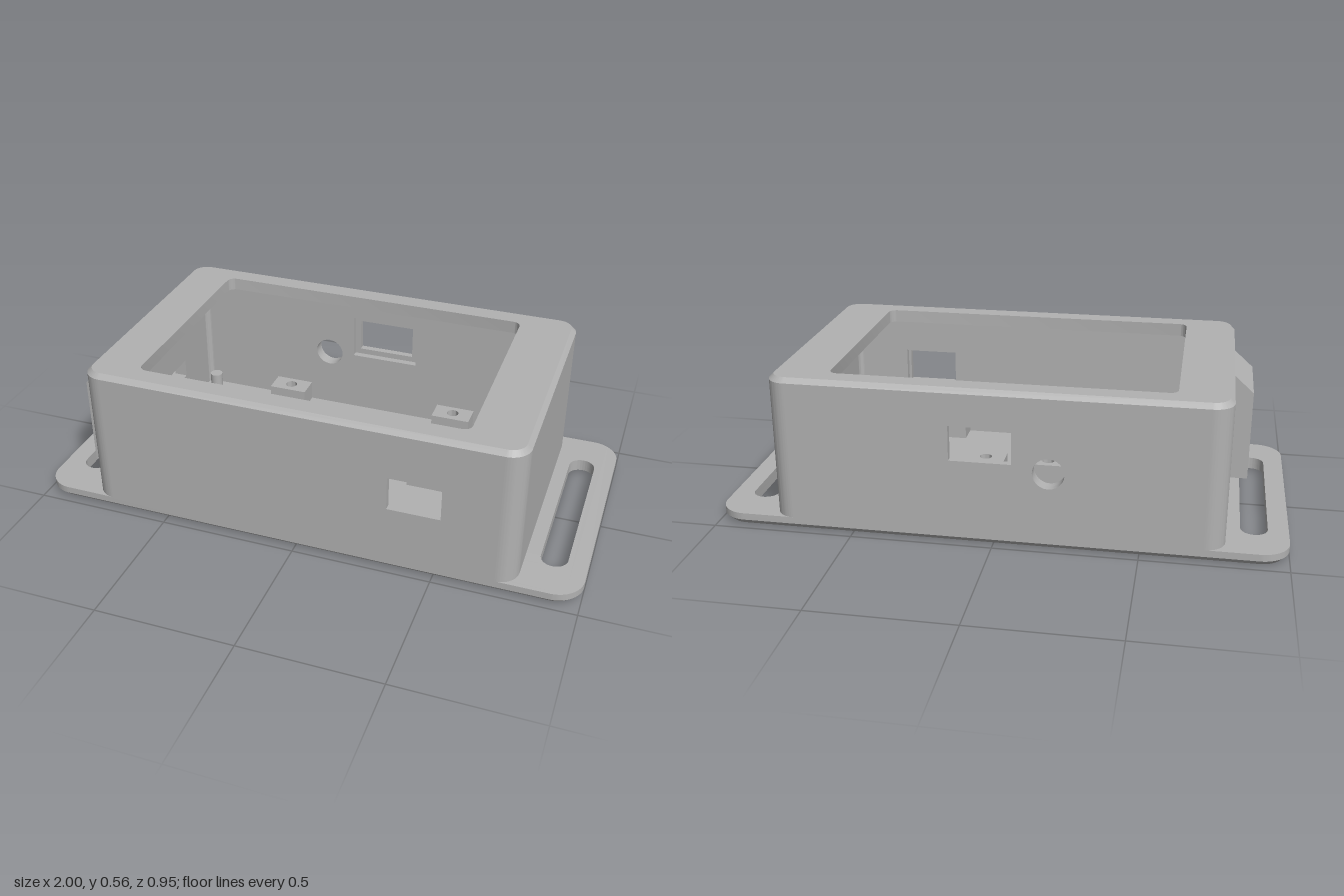
import * as THREE from 'three';
import { toCreasedNormals } from 'three/addons/utils/BufferGeometryUtils.js';

const grey = new THREE.MeshStandardMaterial({ color: 0xb2b2b2, side: THREE.DoubleSide });
grey.name = 'grey plastic';

const HX = 0.785, HZ = 0.477;        // half size of the box body
const FLOOR = 0.045, SHOULDER = 0.545, TOP = 0.562;
const WALL = 0.05, R = 0.07;         // wall thickness, corner radius

// Rounded rectangle outline centred on (cx, cy)
function roundRect(hw, hh, r, cx = 0, cy = 0, Type = THREE.Shape) {
  const s = new Type();
  const corners = [[1, 1], [-1, 1], [-1, -1], [1, -1]];
  corners.forEach(([sx, sy], i) =>
    s.absarc(cx + sx * (hw - r), cy + sy * (hh - r), r, i * Math.PI / 2, (i + 1) * Math.PI / 2, false));
  s.closePath();
  return s;
}

function rect(x0, x1, y0, y1, Type = THREE.Path) {
  return new Type([[x0, y0], [x1, y0], [x1, y1], [x0, y1]].map(p => new THREE.Vector2(...p)));
}

function circle(x, y, r) {
  return new THREE.Path().absarc(x, y, r, 0, Math.PI * 2, false);
}

function extrude(shape, depth) {
  const g = new THREE.ExtrudeGeometry(shape, { depth, bevelEnabled: false, curveSegments: 12 });
  return toCreasedNormals(g, 0.6);
}

// Flat slab: outline in plan, extruded upward from y0 to y1
function slab(shape, y0, y1) {
  return extrude(shape, y1 - y0).rotateX(-Math.PI / 2).translate(0, y0, 0);
}

// Sloping strip joining two plan outlines at different heights
function band(lower, y0, upper, y1) {
  const a = lower.getPoints(12), b = upper.getPoints(12), pos = [];
  const put = (p, y) => pos.push(p.x, y, -p.y);
  for (let i = 0; i < a.length; i++) {
    const j = (i + 1) % a.length;
    put(a[i], y0); put(a[j], y0); put(b[j], y1);
    put(a[i], y0); put(b[j], y1); put(b[i], y1);
  }
  const g = new THREE.BufferGeometry();
  g.setAttribute('position', new THREE.Float32BufferAttribute(pos, 3));
  g.computeVertexNormals();
  return toCreasedNormals(g, 0.6);
}

export function createModel() {
  const model = new THREE.Group();
  model.name = 'enclosure';
  const add = (name, geometry, parent = model) => {
    const m = new THREE.Mesh(geometry, grey);
    m.name = name;
    parent.add(m);
    return m;
  };

  // Base flange with strap slots and countersunk screw holes
  const screws = [];
  for (const x of [-0.345, 0.345]) for (const z of [-0.385, 0.385]) screws.push([x, z]);
  const baseOutline = (inset, screwRadius) => {
    const s = roundRect(1 - inset, HZ - inset, 0.1 - inset);
    for (const x of [-0.882, 0.882]) s.holes.push(roundRect(0.047, 0.335, 0.0465, x, 0, THREE.Path));
    for (const [x, z] of screws) s.holes.push(circle(x, z, screwRadius));
    return s;
  };
  add('baseFlange', slab(baseOutline(0, 0.024), 0.02, FLOOR));
  add('baseUnderside', slab(baseOutline(0.02, 0.055), 0, 0.02));
  add('baseChamfer', band(baseOutline(0.02, 0.055), 0, baseOutline(0, 0.024), 0.02));
  for (const [x, z] of screws) {
    add('screwCountersink', new THREE.CylinderGeometry(0.024, 0.055, 0.02, 24, 1, true)).position.set(x, 0.01, z);
  }

  // Walls: two layers, the inner one with wider openings where there is a recess
  function wall(name, angle, half, distance, openings) {
    const g = new THREE.Group();
    g.name = name;
    g.rotation.y = angle;
    model.add(g);
    [0, 1].forEach(inner => {
      const s = rect(-half + R, half - R, FLOOR, SHOULDER, THREE.Shape);
      for (const o of openings) s.holes.push(o(inner));
      add(inner ? 'innerSkin' : 'outerSkin', extrude(s, WALL / 2), g).position.z = distance - WALL / 2 * (1 + inner);
    });
  }
  const windowHole = (x0, x1, y0, y1, pad) => inner => {
    const p = inner * pad;
    return rect(x0 - p, x1 + p, y0 - p, y1 + p);
  };
  const roundHole = (x, y, r) => () => circle(x, y, r);
  wall('frontWall', 0, HX, HZ, [windowHole(0.333, 0.52, 0.25, 0.375, 0.01)]);
  wall('backWall', Math.PI, HX, HZ, [windowHole(-0.15, 0.065, 0.305, 0.43, 0.022), roundHole(0.19, 0.28, 0.055)]);
  wall('leftWall', Math.PI / 2, HZ, HX, []);
  wall('rightWall', -Math.PI / 2, HZ, HX,
    [windowHole(-0.205, -0.05, 0.185, 0.255, 0), roundHole(0.18, 0.27, 0.105)]);

  // Rounded wall corners
  [[1, 1], [-1, 1], [-1, -1], [1, -1]].forEach(([sx, sy], i) => {
    const a = i * Math.PI / 2, b = a + Math.PI / 2;
    const cx = sx * (HX - R), cy = sy * (HZ - R);
    const s = new THREE.Shape();
    s.absarc(cx, cy, R, a, b, false);
    s.absarc(cx, cy, R - WALL, b, a, true);
    add('wallCorner', slab(s, FLOOR, SHOULDER));
  });

  // Top rim with its display opening and outer chamfer
  const inset = TOP - SHOULDER;
  const rim = roundRect(HX - inset, HZ - inset, R - inset);
  rim.holes.push(roundRect(0.592, 0.392, 0.03, -0.01, 0, THREE.Path));
  add('topRim', slab(rim, 0.515, TOP));
  add('topChamfer', band(roundRect(HX, HZ, R), SHOULDER, rim, TOP));

  // Side socket housing with a round opening and sloping top
  const housing = new THREE.Group();
  housing.name = 'socketHousing';
  housing.rotation.y = -Math.PI / 2;
  model.add(housing);
  const face = rect(0.03, 0.33, 0.09, 0.425, THREE.Shape);
  face.holes.push(circle(0.18, 0.27, 0.105));
  add('socketBlock', extrude(face, 0.075), housing).position.z = HX;
  const slope = new THREE.Shape([[0, 0.425], [0.075, 0.425], [0, 0.492]].map(p => new THREE.Vector2(...p)));
  add('socketSlope', extrude(slope, 0.3).rotateY(-Math.PI / 2).translate(0.33, 0, HX), housing);

  // Drilled mounting blocks on the floor: one row in the middle, one over each screw
  const block = rect(-0.075, 0.075, -0.045, 0.045, THREE.Shape);
  block.holes.push(circle(0, 0, 0.023));
  const blockGeometry = slab(block, FLOOR, 0.12);
  for (const x of [-0.362, -0.123, 0.117, 0.357]) add('centreBlock', blockGeometry).position.x = x;
  for (const [x, z] of screws) add('screwBlock', blockGeometry).position.set(x, 0, z);

  // Small pegs in the floor corners
  for (const x of [-0.69, 0.69]) for (const z of [-0.39, 0.39]) {
    add('cornerPeg', new THREE.CylinderGeometry(0.025, 0.025, 0.06, 20)).position.set(x, FLOOR + 0.03, z);
  }
  return model;
}
